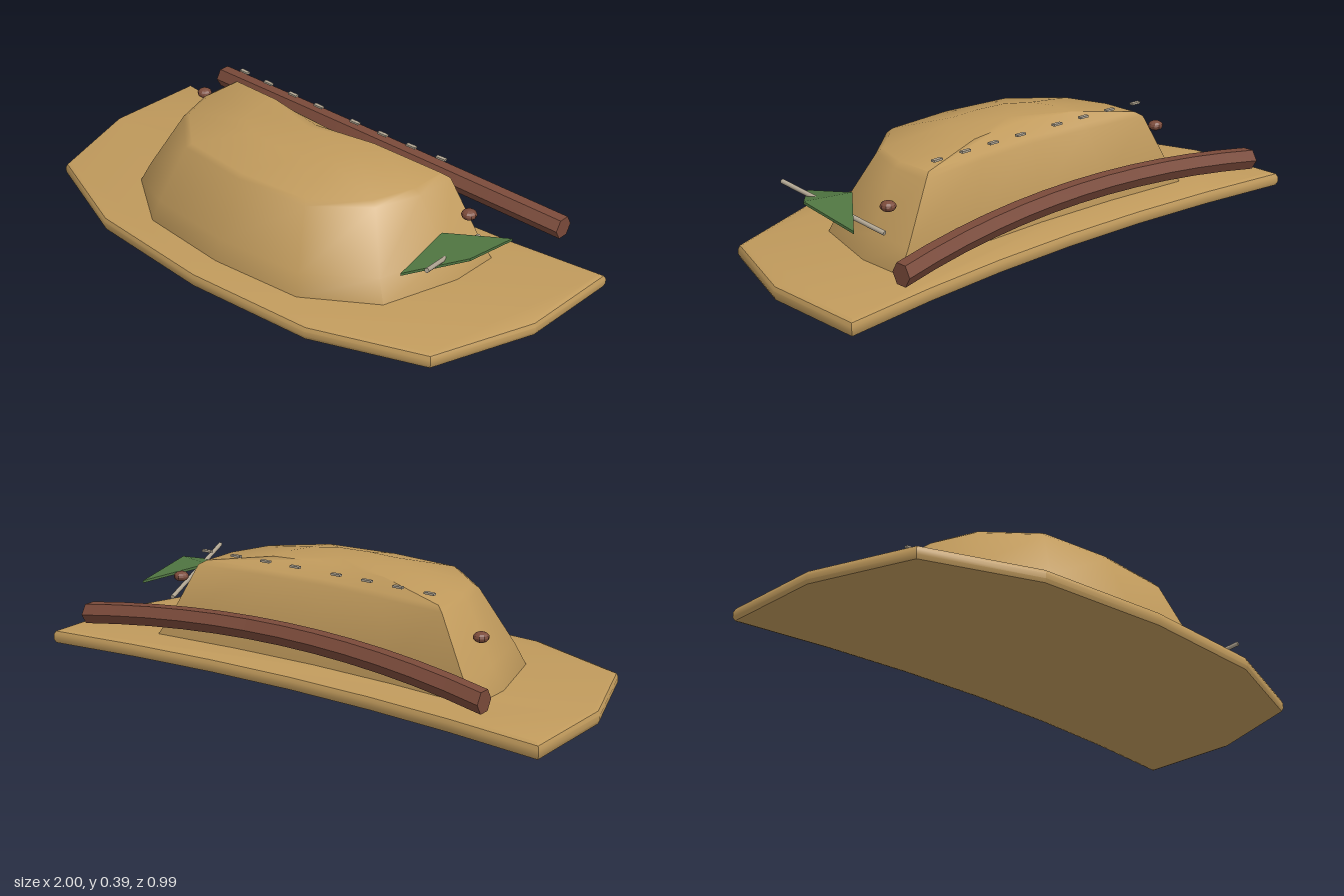
import * as THREE from 'three';
import { toCreasedNormals } from 'three/addons/utils/BufferGeometryUtils.js';

const material = (name, color, extra = {}) => {
  const m = new THREE.MeshStandardMaterial({ color, ...extra });
  m.name = name;
  return m;
};

// Mirror a right-half outline [x, z] (front centre to back centre) into a full loop
const mirrorLoop = (half) => [
  ...half,
  ...half.slice(1, -1).reverse().map(([x, z]) => [-x, z]),
];

function brimGeometry() {
  const loop = mirrorLoop([
    [0, 0.49], [0.48, 0.455], [0.87, 0.3], [0.998, -0.07],
    [0.998, -0.455], [0.65, -0.412], [0.33, -0.387], [0, -0.378],
  ]);
  const shape = new THREE.Shape(loop.map(([x, z]) => new THREE.Vector2(x, -z)));
  const geo = new THREE.ExtrudeGeometry(shape, {
    depth: 0.018, bevelThickness: 0.018, bevelSize: 0.02, bevelOffset: -0.02, bevelSegments: 2,
  });
  geo.rotateX(-Math.PI / 2).translate(0, 0.02, 0);
  return toCreasedNormals(geo, 0.5);
}

// Crown lofted through rings, closed by an apex above and a flat base
function crownGeometry() {
  const rings = [
    { y: 0.006, half: [[0, 0.38], [0.345, 0.35], [0.58, 0.19], [0.66, -0.09], [0.66, -0.272], [0.33, -0.245], [0, -0.235]] },
    { y: 0.055, half: [[0, 0.38], [0.345, 0.35], [0.58, 0.19], [0.66, -0.09], [0.66, -0.272], [0.33, -0.245], [0, -0.235]] },
    { y: 0.13, half: [[0, 0.355], [0.33, 0.325], [0.545, 0.17], [0.61, -0.085], [0.61, -0.258], [0.31, -0.235], [0, -0.222]] },
    { y: 0.325, half: [[0, 0.265], [0.28, 0.24], [0.45, 0.09], [0.505, -0.07], [0.505, -0.226], [0.25, -0.205], [0, -0.19]] },
    { y: 0.341, half: [[0, 0.25], [0.265, 0.225], [0.43, 0.08], [0.48, -0.07], [0.48, -0.208], [0.24, -0.19], [0, -0.175]] },
    { y: 0.381, half: [[0, 0.09], [0.12, 0.08], [0.2, 0.03], [0.23, -0.05], [0.23, -0.15], [0.12, -0.13], [0, -0.11]] },
  ];
  const pos = [], index = [];
  rings.forEach(({ y, half }) => mirrorLoop(half).forEach(([x, z]) => pos.push(x, y, z)));
  const n = 12, apex = rings.length * n;
  pos.push(0, 0.391, -0.07, 0, 0.006, 0);
  for (let i = 0; i < n; i++) {
    const j = (i + 1) % n;
    for (let r = 0; r < rings.length - 1; r++) {
      const a = r * n + i, b = r * n + j;
      index.push(a, b, b + n, a, b + n, a + n);
    }
    index.push(apex - n + i, apex - n + j, apex, j, i, apex + 1);
  }
  const geo = new THREE.BufferGeometry();
  geo.setAttribute('position', new THREE.Float32BufferAttribute(pos, 3));
  geo.setIndex(index);
  return toCreasedNormals(geo, 0.75);
}

// Six-sided bar bowed up and forward at its middle
function bandGeometry() {
  const geo = new THREE.CylinderGeometry(0.04, 0.04, 1.62, 6, 12);
  geo.rotateZ(Math.PI / 2);
  const p = geo.attributes.position;
  for (let i = 0; i < p.count; i++) {
    const t = (p.getX(i) / 0.81) ** 2;
    p.setY(i, p.getY(i) + 0.205 - 0.05 * t);
    p.setZ(i, p.getZ(i) - 0.394 - 0.066 * t);
  }
  return geo;
}

// Diamond leaf folded across its middle, with a thin underside
function leafGeometry() {
  const top = [0.785, 0.217, -0.207, 0.64, 0.262, -0.02, 0.655, 0.217, 0.2, 0.797, 0.256, 0.03];
  const pos = [...top, ...top.map((v, i) => (i % 3 === 1 ? v - 0.009 : v))];
  const index = [0, 1, 3, 1, 2, 3, 4, 7, 5, 5, 7, 6];
  for (let i = 0; i < 4; i++) {
    const j = (i + 1) % 4;
    index.push(i, i + 4, j + 4, i, j + 4, j);
  }
  const geo = new THREE.BufferGeometry();
  geo.setAttribute('position', new THREE.Float32BufferAttribute(pos, 3));
  geo.setIndex(index);
  return toCreasedNormals(geo, 0.2);
}

export function createModel() {
  const group = new THREE.Group();
  group.name = 'hat';
  const straw = material('straw', 0xc09a5c);
  const leather = material('leather brown', 0x7a4a3a, { flatShading: true });
  const green = material('leaf green', 0x4f7541);
  const bone = material('bone grey', 0xb0a592);

  const add = (name, geo, mat) => {
    const mesh = new THREE.Mesh(geo, mat);
    mesh.name = name;
    group.add(mesh);
    return mesh;
  };

  add('brim', brimGeometry(), straw);
  add('crown', crownGeometry(), straw);
  add('backBand', bandGeometry(), leather);

  // Flattened beads at the back corners
  for (const s of [-1, 1]) {
    const bead = add(s > 0 ? 'leftBead' : 'rightBead', new THREE.SphereGeometry(0.027, 10, 8), leather);
    bead.position.set(s * 0.625, 0.254, -0.18);
    bead.scale.y = 0.67;
  }

  // Row of stitches along the top back edge
  for (const s of [-1, 1]) {
    for (let i = 0; i < 4; i++) {
      const x = 0.085 + i * 0.125;
      const stitch = add('stitch', new THREE.BoxGeometry(0.038, 0.007, 0.014), bone);
      stitch.position.set(s * x, 0.381, -0.217 - 0.05 * x * x);
      stitch.rotation.y = s * 0.1 * x;
    }
  }

  // Leaf ornament with its pin
  add('leaf', leafGeometry(), green);
  const a = new THREE.Vector3(0.655, 0.175, -0.197);
  const b = new THREE.Vector3(0.757, 0.273, 0.197);
  const dir = b.clone().sub(a);
  const pin = add('leafPin', new THREE.CylinderGeometry(0.008, 0.008, dir.length(), 8), bone);
  pin.position.copy(a).add(b).multiplyScalar(0.5);
  pin.quaternion.setFromUnitVectors(new THREE.Vector3(0, 1, 0), dir.normalize());

  return group;
}
